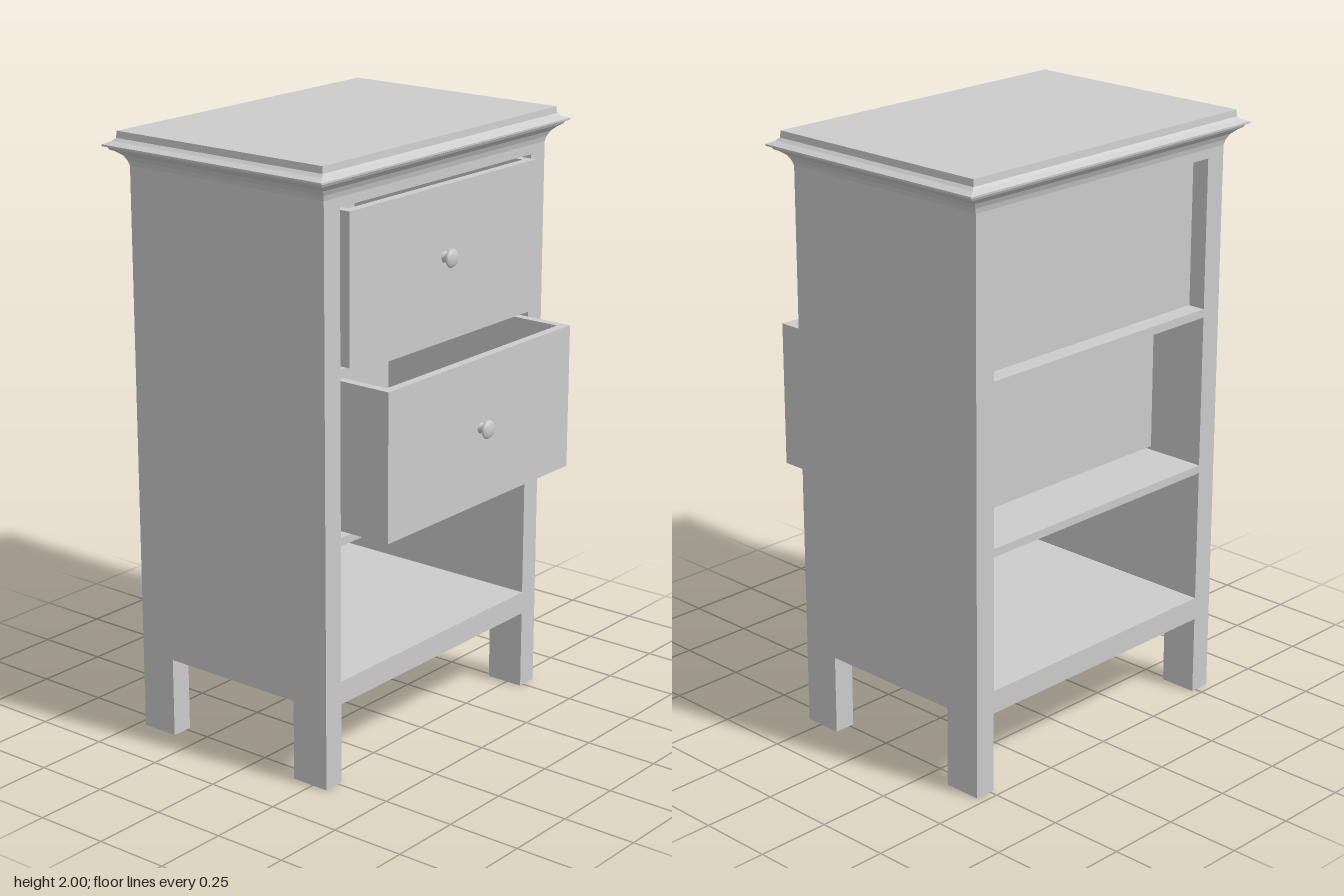
import * as THREE from 'three';

const material = new THREE.MeshStandardMaterial({ color: 0xcccccc });
const flat = new THREE.MeshStandardMaterial({ color: 0xcccccc, flatShading: true });

// Carcass extents; the drawers open toward +x
const BACK = -0.472, FRONT = 0.307, HALF_Z = 0.558, WALL = 0.074;
const MID_X = (BACK + FRONT) / 2, DEPTH = FRONT - BACK;

function addMesh(parent, name, geometry, mat = material) {
  const mesh = new THREE.Mesh(geometry, mat);
  mesh.name = name;
  parent.add(mesh);
  return mesh;
}

// Box given by its lower and upper limits on each axis
function addBox(parent, name, [x0, x1], [y0, y1], [z0, z1]) {
  const box = addMesh(parent, name, new THREE.BoxGeometry(x1 - x0, y1 - y0, z1 - z0));
  box.position.set((x0 + x1) / 2, (y0 + y1) / 2, (z0 + z1) / 2);
  return box;
}

// Side board with a cut-out that leaves two feet
function sidePanelGeometry() {
  const shape = new THREE.Shape([
    [BACK, 0], [-0.342, 0], [-0.342, 0.268], [0.174, 0.268],
    [0.174, 0], [FRONT, 0], [FRONT, 1.89], [BACK, 1.89],
  ].map(([x, y]) => new THREE.Vector2(x, y)));
  return new THREE.ExtrudeGeometry(shape, { depth: WALL, bevelEnabled: false });
}

// Moulded top: rectangular rings following a cornice profile, capped at both ends
function crownGeometry() {
  const profile = [ // outward offset, height
    [0, 1.888], [0.004, 1.905], [0.012, 1.922], [0.026, 1.936], [0.036, 1.942],
    [0.04, 1.95], [0.05, 1.954], [0.05, 1.96], [0.032, 1.969], [0.024, 1.978], [0.022, 2],
  ];
  const positions = [], indices = [];
  for (const [offset, y] of profile) {
    const hx = DEPTH / 2 + offset, hz = HALF_Z + offset * 1.4;
    for (const [sx, sz] of [[-1, 1], [1, 1], [1, -1], [-1, -1]]) {
      positions.push(MID_X + sx * hx, y, sz * hz);
    }
  }
  for (let ring = 0; ring < profile.length - 1; ring++) {
    for (let k = 0; k < 4; k++) {
      const a = ring * 4 + k, b = ring * 4 + (k + 1) % 4;
      indices.push(a, b, b + 4, a, b + 4, a + 4);
    }
  }
  const t = (profile.length - 1) * 4;
  indices.push(t, t + 1, t + 2, t, t + 2, t + 3, 0, 2, 1, 0, 3, 2);
  const geometry = new THREE.BufferGeometry();
  geometry.setAttribute('position', new THREE.Float32BufferAttribute(positions, 3));
  geometry.setIndex(indices);
  const faceted = geometry.toNonIndexed();
  faceted.computeVertexNormals();
  return faceted;
}

// Turned knob: a waisted stem with a domed head
function knobGeometry() {
  const points = [
    [0.018, 0], [0.015, 0.006], [0.015, 0.02], [0.027, 0.022],
    [0.031, 0.027], [0.027, 0.033], [0.015, 0.037], [0, 0.038],
  ].map(([r, y]) => new THREE.Vector2(r, y));
  return new THREE.LatheGeometry(points, 20).rotateZ(-Math.PI / 2);
}

// Open-topped drawer; its face lies at local x = 0 and its base at y = 0
function createDrawer(name) {
  const drawer = new THREE.Group();
  drawer.name = name;
  const length = 0.755, height = 0.48, half = 0.473, t = 0.03;
  addBox(drawer, 'drawerFront', [-t, 0], [0, height], [-half, half]);
  addBox(drawer, 'drawerBack', [-length, t - length], [0, height], [-half, half]);
  for (const s of [-1, 1]) {
    const z = [s * half, s * (half - t)].sort((a, b) => a - b);
    addBox(drawer, 'drawerSide', [t - length, -t], [0, height], z);
  }
  addBox(drawer, 'drawerBottom', [t - length, -t], [0, 0.022], [t - half, half - t]);
  addMesh(drawer, 'knob', knobGeometry()).position.set(0, 0.252, 0.006);
  return drawer;
}

export function createModel() {
  const model = new THREE.Group();
  model.name = 'bedsideCabinet';

  // Side boards with feet
  for (const z of [-HALF_Z, HALF_Z - WALL]) {
    addMesh(model, 'sidePanel', sidePanelGeometry()).position.z = z;
  }

  // Horizontal boards, open at front and back
  const inner = HALF_Z - WALL;
  const boards = [
    ['bottomShelf', 0.268, 0.345], ['lowerDrawerShelf', 0.795, 0.822],
    ['upperDrawerShelf', 1.332, 1.36], ['topBoard', 1.857, 1.889],
  ];
  for (const [name, y0, y1] of boards) {
    addBox(model, name, [BACK, FRONT], [y0, y1], [-inner, inner]);
  }

  addMesh(model, 'crown', crownGeometry(), flat);

  // Upper drawer nearly shut, lower one pulled out
  const upper = createDrawer('upperDrawer');
  upper.position.set(0.334, 1.366, 0);
  const lower = createDrawer('lowerDrawer');
  lower.position.set(0.482, 0.84, 0);
  model.add(upper, lower);

  return model;
}
